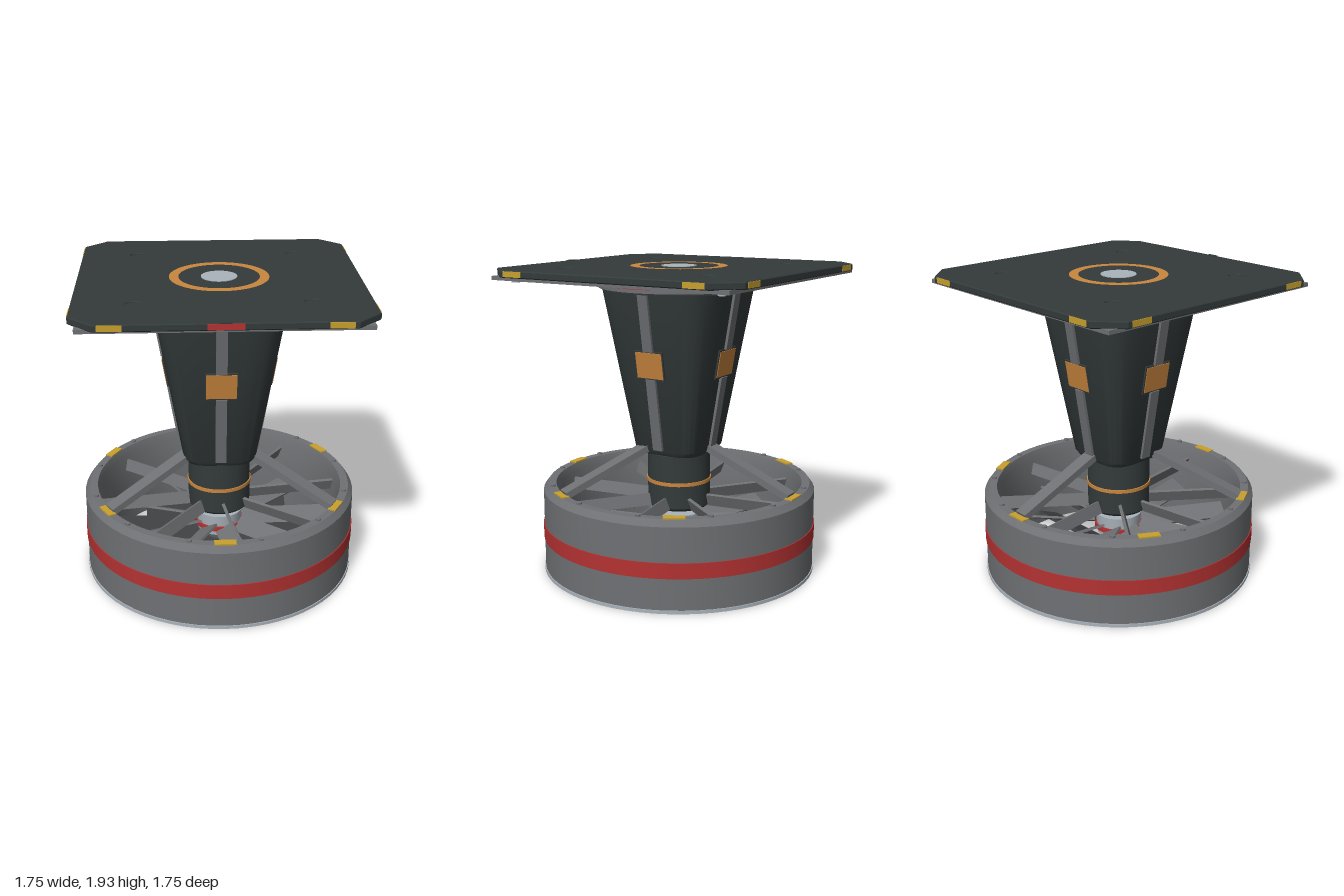
import * as THREE from 'three';
import { toCreasedNormals } from 'three/addons/utils/BufferGeometryUtils.js';

const paint = (name, color, side = THREE.FrontSide) => {
  const m = new THREE.MeshStandardMaterial({ color, side });
  m.name = name;
  return m;
};

export function createModel() {
  const dark = paint('darkShell', 0x343b3b);
  const grey = paint('grey', 0x6f7174);
  const slatGrey = paint('slatGrey', 0x3c3e40);
  const red = paint('red', 0xb43232);
  const orange = paint('orange', 0xca863e);
  const yellow = paint('yellow', 0xc8a02e);
  const steel = paint('steel', 0xaab3bb);

  const model = new THREE.Group();
  const add = (name, geo, mat, x = 0, y = 0, z = 0, parent = model) => {
    const m = new THREE.Mesh(geo, mat);
    m.name = name;
    m.position.set(x, y, z);
    parent.add(m);
    return m;
  };
  const box = (w, h, d) => new THREE.BoxGeometry(w, h, d);
  const cyl = (r, h, n = 48, rb = r) => new THREE.CylinderGeometry(r, rb, h, n);
  const lathe = (pts, n = 64) =>
    toCreasedNormals(new THREE.LatheGeometry(pts.map(p => new THREE.Vector2(...p)), n), 0.5);
  // Groups turned about y; local +z points outward
  const around = (name, n, start, fill) => {
    for (let i = 0; i < n; i++) {
      const g = new THREE.Group();
      g.name = name;
      g.rotation.y = start + (i * Math.PI * 2) / n;
      model.add(g);
      fill(g);
    }
  };

  // Duct shell with chamfered top lip
  add('duct', lathe([[0.77, 0.07], [0.87, 0.07], [0.87, 0.59], [0.84, 0.63], [0.79, 0.63],
    [0.775, 0.58], [0.76, 0.35], [0.77, 0.07]]), grey);
  add('ductBand', lathe([[0.865, 0.28], [0.876, 0.28], [0.876, 0.375], [0.865, 0.375]]), red);
  add('ductBottomLip', lathe([[0.84, 0.065], [0.876, 0.065], [0.876, 0.085], [0.865, 0.085]]), steel);
  around('ductMark', 6, 0, g => add('ductMarkPlate', box(0.13, 0.009, 0.05), yellow, 0, 0.633, 0.815, g));
  around('ductBolt', 12, Math.PI / 12, g => add('ductBoltHead', cyl(0.016, 0.012, 8), grey, 0, 0.635, 0.815, g));

  // Outlet slats, tilted, clipped to the duct's circle
  for (let i = -2; i <= 2; i++) {
    const z = i * 0.25;
    const len = 2 * Math.sqrt(0.755 ** 2 - (Math.abs(z) + 0.07) ** 2);
    add('outletSlat', box(len, 0.025, 0.17), slatGrey, 0, 0.13, z).rotation.x = 0.4;
  }

  // Rotor: steel hub, red ring, pitched blades
  add('rotorHub', lathe([[0, 0.2], [0.08, 0.22], [0.14, 0.28], [0.15, 0.42], [0, 0.42]], 32), steel);
  add('rotorRing', cyl(0.157, 0.03), red, 0, 0.33, 0);
  around('rotorBlade', 9, 0.2, g => {
    add('rotorBladePanel', box(0.13, 0.015, 0.58), grey, 0, 0.34, 0.44, g).rotation.z = 0.5;
  });
  // Fixed vanes from the motor to the duct
  around('statorVane', 8, 0.15, g => {
    add('statorVanePanel', box(0.02, 0.08, 0.59), grey, 0, 0.51, 0.48, g).rotation.z = 0.35;
  });

  // Motor neck
  add('motorNeck', lathe([[0, 0.46], [0.18, 0.46], [0.2, 0.48], [0.2, 0.82], [0.185, 0.84], [0, 0.84]], 40), dark);
  add('neckRing', cyl(0.207, 0.022), orange, 0, 0.64, 0);

  // Three sloping struts
  around('strut', 3, Math.PI, g => {
    add('strutBar', box(0.09, 0.042, 0.61), grey, 0, 0.752, 0.515, g).rotation.x = Math.atan2(0.23, 0.55);
  });

  // Tapered tower, round profile warped to a rounded square
  const tower = new THREE.LatheGeometry([[0, 0.83], [0.215, 0.83], [0.235, 0.86], [0.405, 1.865], [0, 1.865]]
    .map(p => new THREE.Vector2(...p)), 64);
  const pos = tower.attributes.position;
  for (let i = 0; i < pos.count; i++) {
    const x = pos.getX(i), z = pos.getZ(i), r = Math.hypot(x, z);
    if (r < 1e-5) continue;
    const k = ((x / r) ** 4 + (z / r) ** 4) ** -0.25;
    pos.setX(i, x * k);
    pos.setZ(i, z * k);
  }
  add('tower', toCreasedNormals(tower, 0.5), dark);

  // Ribs and marker panels lying on the four tower faces
  const slope = Math.atan2(0.17, 1.005);
  const faceAt = y => 0.235 + (y - 0.86) * 0.169;
  around('towerFace', 4, 0, g => {
    const lay = (name, w, y0, y1, d, mat, lift) => {
      const y = (y0 + y1) / 2;
      add(name, box(w, (y1 - y0) / Math.cos(slope), d), mat, 0, y, faceAt(y) + lift, g).rotation.x = slope;
    };
    lay('lowerRib', 0.068, 0.87, 1.33, 0.03, grey, 0.002);
    lay('upperRib', 0.068, 1.505, 1.86, 0.03, grey, 0.002);
    lay('panelFrame', 0.2, 1.328, 1.508, 0.02, dark, 0.0);
    lay('panel', 0.185, 1.337, 1.498, 0.008, orange, 0.01);
  });

  // Collar below the deck
  add('collar', lathe([[0, 1.858], [0.475, 1.858], [0.5, 1.87], [0.5, 1.895], [0, 1.895]]), grey);
  add('collarRing', cyl(0.506, 0.045, 64), red, 0, 1.914, 0);

  // Deck plate with clipped corners and four bolt holes
  const H = 0.846, C = 0.71;
  const outline = new THREE.Shape([[C, -H], [H, -C], [H, C], [C, H], [-C, H], [-H, C], [-H, -C], [-C, -H]]
    .map(p => new THREE.Vector2(...p)));
  const corners = [[1, 1], [1, -1], [-1, 1], [-1, -1]];
  for (const [sx, sz] of corners) {
    outline.holes.push(new THREE.Path().absarc(sx * 0.5, sz * 0.5, 0.05, 0, Math.PI * 2, true));
    add('boltSeat', cyl(0.052, 0.035, 24), dark, sx * 0.5, 1.97, sz * 0.5);
    add('frameBolt', cyl(0.024, 0.025, 10), steel, sx * 0.71, 1.927, sz * 0.71);
  }
  const deck = new THREE.ExtrudeGeometry(outline, {
    depth: 0.031, bevelEnabled: true, bevelThickness: 0.006, bevelSize: 0.005, bevelSegments: 1, curveSegments: 24 });
  deck.rotateX(-Math.PI / 2);
  add('deck', deck, dark, 0, 1.959, 0);

  // Underside frame
  for (const s of [-1, 1]) {
    add('frameBarAcross', box(1.62, 0.024, 0.06), grey, 0, 1.944, s * 0.78);
    add('frameBarAlong', box(0.06, 0.024, 1.5), grey, s * 0.78, 1.944, 0);
  }

  // Deck top markings
  const ring = new THREE.RingGeometry(0.245, 0.302, 64);
  ring.rotateX(-Math.PI / 2);
  add('deckRing', ring, orange, 0, 1.9985, 0);
  add('deckCentre', cyl(0.11, 0.008, 40), steel, 0, 1.996, 0);
  add('frontNotch', box(0.07, 0.008, 0.03), dark, 0, 1.996, 0.835);

  // Deck edge markings
  around('deckEdge', 4, 0, g => {
    for (const s of [-1, 1]) add('edgeMark', box(0.135, 0.034, 0.008), yellow, s * 0.618, 1.975, 0.85, g);
  });
  add('frontMark', box(0.2, 0.034, 0.008), red, 0, 1.975, 0.85);

  return model;
}
